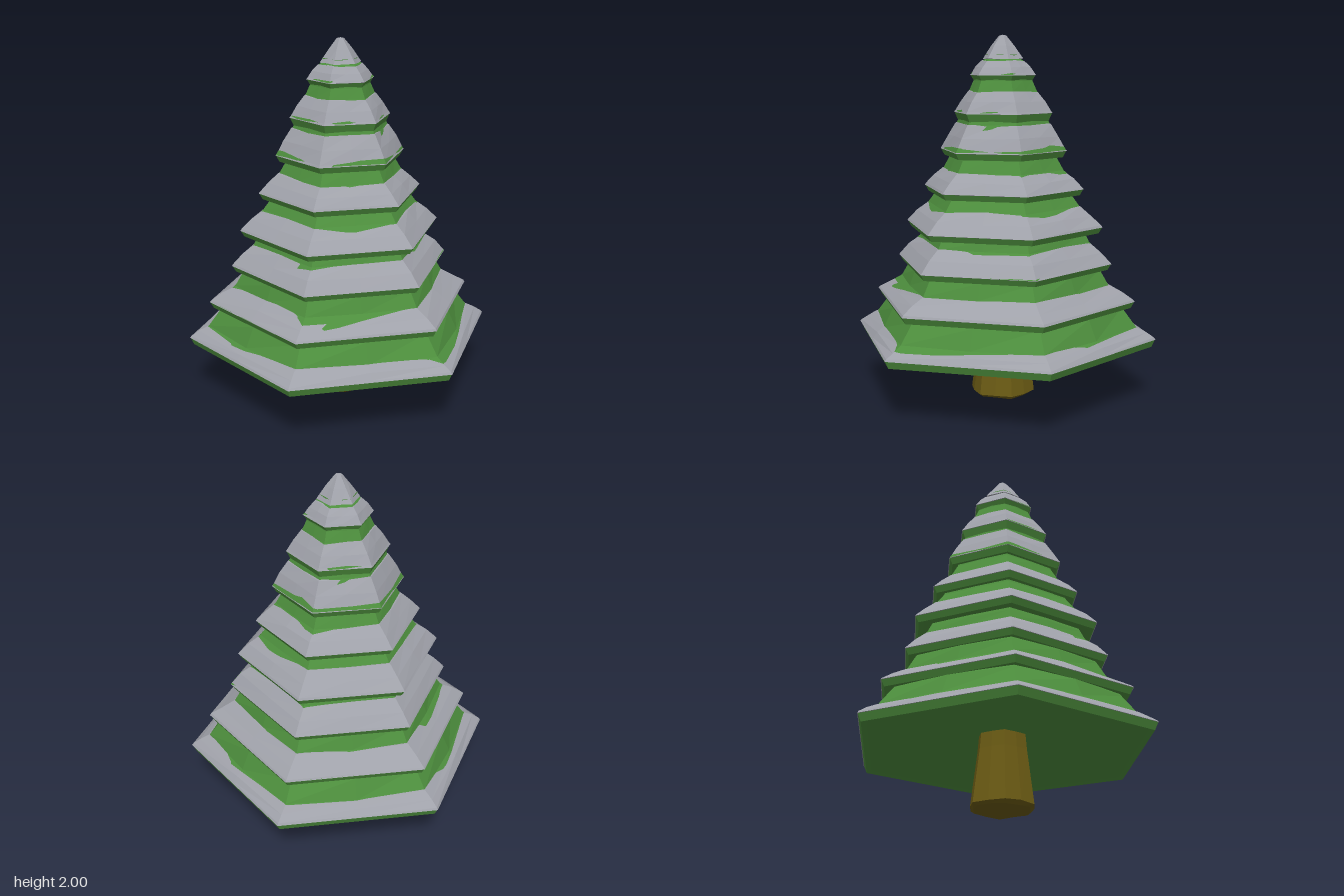
import * as THREE from 'three';

const HEX = Math.cos(Math.PI / 6); // edge-middle radius of a straight-sided hexagon

const material = (color) => new THREE.MeshStandardMaterial({ color, flatShading: true, side: THREE.DoubleSide });

// Small seeded random, -1 to 1
function seeded(seed) {
  let s = seed;
  return () => {
    s = (s * 16807) % 2147483647;
    return (s / 2147483647) * 2 - 1;
  };
}

// Lofts six-sided rings [corner radius, y, wobble, edge-middle ratio] from inside bottom to top;
// corners point along z, and a larger ratio rounds the ring
function hexLoft(profile, rand = () => 0) {
  const n = 12, pos = [], index = [];
  profile.forEach(([r, y, wobble = 0, ratio = HEX]) => {
    for (let i = 0; i < n; i++) {
      const a = (i / n) * Math.PI * 2;
      const d = r * (i % 2 ? ratio : 1) + rand() * wobble * 0.5;
      pos.push(Math.sin(a) * d, y + rand() * wobble, Math.cos(a) * d);
    }
  });
  for (let j = 0; j < profile.length - 1; j++) {
    for (let i = 0; i < n; i++) {
      const k = (i + 1) % n, a = j * n, b = a + n;
      index.push(a + i, a + k, b + k, a + i, b + k, b + i);
    }
  }
  const geo = new THREE.BufferGeometry();
  geo.setAttribute('position', new THREE.Float32BufferAttribute(pos, 3));
  geo.setIndex(index);
  geo.computeVertexNormals();
  return geo;
}

export function createModel() {
  const tree = new THREE.Group();
  tree.name = 'snowyTree';
  const green = material(0x4d8e3d), snow = material(0x9fa1a9), wood = material(0x6b5b14);

  const add = (name, geo, mat) => {
    const mesh = new THREE.Mesh(geo, mat);
    mesh.name = name;
    tree.add(mesh);
  };

  // Trunk: tapered, with rounded-off hexagon sides and a bevelled foot
  add('trunk', hexLoft([
    [0, 0.015], [0.16, 0.008, 0.006, 0.92], [0.181, 0.025, 0.004, 0.92],
    [0.142, 0.32, 0, 0.92], [0.13, 0.45, 0, 0.92], [0, 0.45],
  ], seeded(5)), wood);

  // Tiers: rim radius, underside y, rim top y, snow edge radius and y, neck radius, roundness of the neck
  const tiers = [
    [0.855, 0.32, 0.363, 0.75, 0.425, 0.67, 0.93],
    [0.738, 0.53, 0.567, 0.595, 0.65, 0.545, 0.91],
    [0.608, 0.735, 0.77, 0.485, 0.885, 0.46, 0.885],
    [0.556, 0.935, 0.97, 0.43, 1.08, 0.385, 0.88],
    [0.45, 1.14, 1.175, 0.34, 1.275, 0.3, 0.89],
    [0.355, 1.345, 1.382, 0.262, 1.525, 0.255, 0.88],
    [0.275, 1.54, 1.585, 0.19, 1.7, 0.165, 0.89],
    [0.183, 1.755, 1.787, 0.116, 1.862, 0.1, 0.88],
  ];
  tiers.forEach(([r, y0, yr, sr, sy, neck, round], i) => {
    const next = tiers[i + 1] ? tiers[i + 1][1] : 1.87;
    const mid = (HEX + round) / 2;
    const w = Math.min(0.012, r * 0.03);
    // Branch layer: hollowed underside, outward-leaning rim, slope up to a rounder neck
    add('branches' + (i + 1), hexLoft([
      [0, y0 + 0.1], [r - 0.05, y0 + 0.008], [r - 0.02, y0], [r, yr],
      [sr, sy, 0, mid], [neck, next, 0, round], [neck * 0.97, next + 0.025, 0, round], [0, next + 0.025],
    ]), green);
    // Snow skirt lying on the layer, its upper edge sinking unevenly into the branches
    add('snow' + (i + 1), hexLoft([
      [r - 0.01, yr - 0.006], [r + 0.002, yr - 0.002], [r - 0.006, yr + 0.008, 0.002],
      [(r + sr) / 2 + 0.004, (yr + sy) / 2 + 0.004, w * 0.4, (HEX + mid) / 2],
      [sr + 0.005, sy - 0.002, w * 0.5, mid], [sr - 0.03, sy + 0.006, w * 0.8, mid],
    ], seeded(101 + i * 37)), snow);
  });

  // Snow cap at the tip
  add('snowCap', hexLoft([
    [0.085, 1.868], [0.113, 1.872, 0.003], [0.065, 1.94, 0.003], [0.02, 1.996], [0, 2],
  ], seeded(71)), snow);

  return tree;
}
